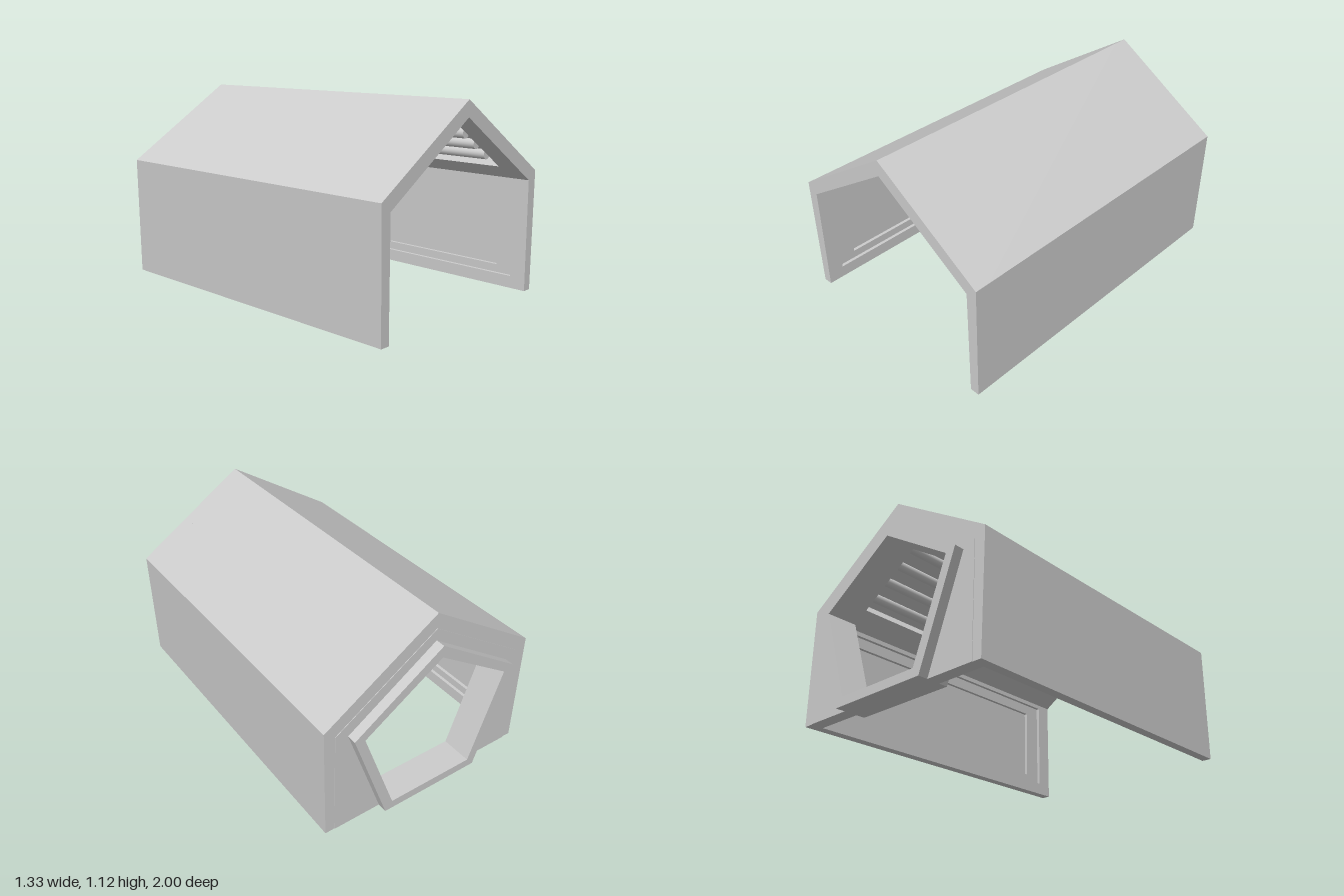
import * as THREE from 'three';

const material = new THREE.MeshStandardMaterial({ color: 0xcccccc, flatShading: true, side: THREE.DoubleSide });
const pts = (list) => list.map(([x, y]) => new THREE.Vector2(x, y));

// Mirrors a half outline (bottom to apex, apex on x = 0) into a whole one
const mirrored = (half) => [...half, ...half.slice(0, -1).reverse().map(([x, y]) => [-x, y])];

const OUTER = mirrored([[0.655, 0], [0.665, 0.69], [0, 1.12]]);
const INNER = mirrored([[0.6, 0], [0.6, 0.64], [0, 1.03]]);
const SKIN = mirrored([[0.64, 0], [0.64, 0.684], [0, 1.1]]);
const FRAME_OUT = mirrored([[0.31, 0], [0.525, 0.61], [0, 0.96]]);
const FRAME_IN = mirrored([[0.267, 0.05], [0.462, 0.59], [0, 0.89]]);
const WALL_HOLE = mirrored([[0.29, 0.025], [0.495, 0.6], [0, 0.925]]);

export function createModel() {
  const group = new THREE.Group();

  const add = (geometry, name) => {
    const mesh = new THREE.Mesh(geometry, material);
    mesh.name = name;
    group.add(mesh);
    return mesh;
  };

  // Extrudes an outline along z, with an optional hole
  const slab = (name, outline, hole, z0, z1) => {
    const shape = new THREE.Shape(pts(outline));
    if (hole) shape.holes.push(new THREE.Path(pts(hole)));
    const geometry = new THREE.ExtrudeGeometry(shape, { depth: z1 - z0, bevelEnabled: false });
    add(geometry.translate(0, 0, z0), name);
  };

  // Open-bottomed gable section between two profiles
  const arch = (name, inner, z0, z1) => slab(name, [...OUTER, ...[...inner].reverse()], null, z0, z1);

  // Lining sheet from point a to b in the xy plane, with a rectangular opening
  const lining = (name, side, a, b, offset, thick, [u0, u1, z0, z1]) => {
    if (side < 0) {
      [a, b] = [[-b[0], b[1]], [-a[0], a[1]]];
      [u0, u1] = [1 - u1, 1 - u0];
    }
    const U = new THREE.Vector3(b[0] - a[0], b[1] - a[1], 0);
    const len = U.length();
    U.normalize();
    const Z = new THREE.Vector3(0, 0, 1);
    const N = U.clone().cross(Z);
    const shape = new THREE.Shape(pts([[0, -0.87], [len, -0.87], [len, 0.92], [0, 0.92]]));
    shape.holes.push(new THREE.Path(pts([[u0 * len, z0], [u0 * len, z1], [u1 * len, z1], [u1 * len, z0]])));
    const geometry = new THREE.ExtrudeGeometry(shape, { depth: thick, bevelEnabled: false });
    geometry.translate(0, 0, offset);
    geometry.applyMatrix4(new THREE.Matrix4().makeBasis(U, Z, N));
    add(geometry.translate(a[0], a[1], 0), name);
  };

  // Shell: thick end rims joined by a thin skin
  arch('frontRim', INNER, 0.91, 1);
  arch('shellSkin', SKIN, -0.86, 0.91);
  arch('backRim', INNER, -0.942, -0.86);

  // Back wall and projecting five-sided window frame
  slab('backWall', INNER, WALL_HOLE, -0.945, -0.87);
  slab('windowFrame', FRAME_OUT, FRAME_IN, -1, -0.82);

  const pipeMaterial = new THREE.MeshStandardMaterial({ color: 0xcccccc });
  for (const side of [1, -1]) {
    // Stepped wall recess
    lining('wallFrame', side, [0.6, 0], [0.6, 0.64], 0, 0.02, [0.11, 0.96, -0.85, 0.905]);
    lining('wallInnerFrame', side, [0.6, 0], [0.6, 0.65], 0.02, 0.02, [0.18, 0.85, -0.74, 0.8]);

    // Roof recess holding a row of pipes
    lining('ceilingFrame', side, [0.6, 0.64], [0, 1.03], 0, 0.06, [0.2, 0.93, -0.8, 0.88]);
    for (const t of [0.31, 0.48, 0.65, 0.82]) {
      const pipe = add(new THREE.CylinderGeometry(0.028, 0.028, 1.62, 16), 'ceilingPipe');
      pipe.material = pipeMaterial;
      pipe.rotation.x = Math.PI / 2;
      pipe.position.set(side * (0.6 * (1 - t) + 0.0164), 0.64 + 0.39 * t + 0.0251, 0.02);
    }

    // Small raised plates inside the back wall
    const flip = (list) => list.map(([x, y]) => [side * x, y]);
    slab('upperPlate', flip([[0.5, 0.245], [0.575, 0.245], [0.56, 0.375], [0.535, 0.375]]), null, -0.872, -0.864);
    slab('lowerPlate', flip([[0.44, 0.12], [0.575, 0.12], [0.575, 0.2], [0.47, 0.2]]), null, -0.872, -0.864);
  }
  return group;
}
